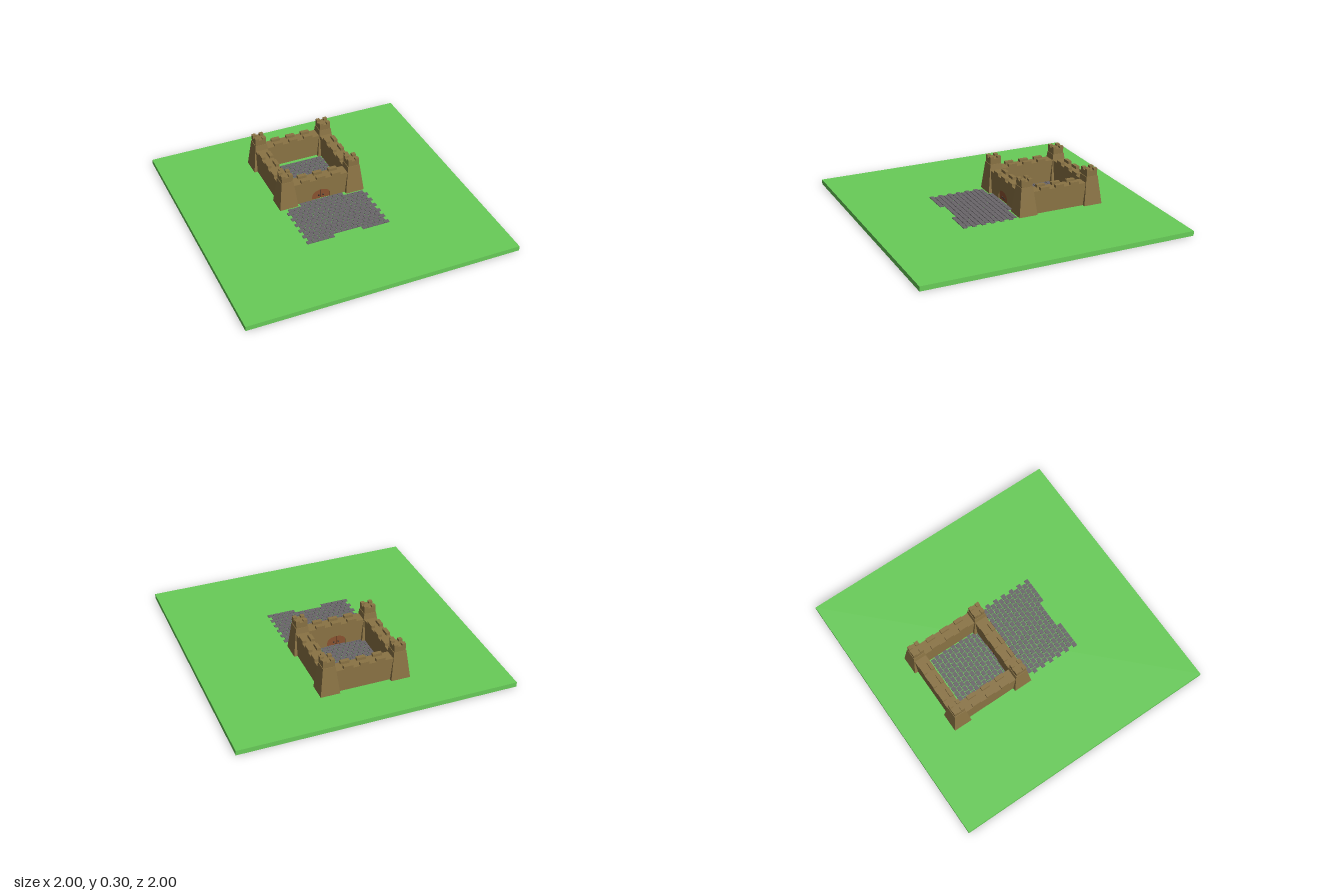
import * as THREE from 'three';
import { mergeGeometries } from 'three/addons/utils/BufferGeometryUtils.js';

const GROUND = 0.035;
const CX = -0.025, CZ = -0.351;      // centre of the castle
const HALF = 0.257;                  // centre to tower centre
const WALL_TOP = 0.203, WALL_T = 0.09;

const paint = (color) => new THREE.MeshStandardMaterial({ color, flatShading: true });
const box = (w, h, d, x, y, z) => new THREE.BoxGeometry(w, h, d).translate(x, y + h / 2, z);

function part(name, geometries, material) {
  const mesh = new THREE.Mesh(mergeGeometries(geometries), material);
  mesh.name = name;
  return mesh;
}

// Square block tapering from half-width a (bottom) to b (top)
function frustum(a, b, y0, y1) {
  return new THREE.CylinderGeometry(b * Math.SQRT2, a * Math.SQRT2, y1 - y0, 4)
    .rotateY(Math.PI / 4).translate(0, (y0 + y1) / 2, 0);
}

// Corner tower with four merlons around a cross-shaped notch
function tower(material) {
  const g = [frustum(0.07, 0.045, GROUND, 0.245), frustum(0.041, 0.042, 0.245, 0.286)];
  for (const sx of [-1, 1]) for (const sz of [-1, 1])
    g.push(box(0.028, 0.016, 0.028, sx * 0.028, 0.285, sz * 0.028));
  return part('tower', g, material);
}

// Two rows of merlons on a wall running along x
function battlements() {
  const g = [];
  for (let i = -1; i <= 1; i++) for (const side of [-1, 1])
    g.push(box(0.066, 0.02, 0.028, i * 0.118, WALL_TOP, side * (WALL_T / 2 - 0.014)));
  return g;
}

// Low arched outline used by the doorway and the door leaves
function archPoints(x0, x1, half, spring, rise) {
  const pts = [new THREE.Vector2(x0, GROUND)];
  for (let i = 0; i <= 12; i++) {
    const x = x0 + (x1 - x0) * (0.5 - 0.5 * Math.cos(Math.PI * i / 12));
    pts.push(new THREE.Vector2(x, spring + rise * Math.sqrt(Math.max(0, 1 - (x / half) ** 2))));
  }
  pts.push(new THREE.Vector2(x1, GROUND));
  return pts;
}

function extrude(shape, depth) {
  return new THREE.ExtrudeGeometry(shape, { depth, bevelEnabled: false }).translate(0, 0, -depth / 2);
}

export function createModel() {
  const model = new THREE.Group();
  const stone = paint(0x8a7344), wood = paint(0x8a5230);
  const iron = paint(0x2c2826), cobble = paint(0x6a666a), grass = paint(0x68cc58);

  model.add(part('ground', [box(2, GROUND, 2, 0, 0, 0)], grass));

  const castle = new THREE.Group();
  castle.name = 'castle';
  castle.position.set(CX, 0, CZ);
  model.add(castle);

  // Corner towers
  for (const sx of [-1, 1]) for (const sz of [-1, 1]) {
    const t = tower(stone);
    t.position.set(sx * HALF, 0, sz * HALF);
    castle.add(t);
  }

  // Plain walls: back and both sides
  const plain = [['backWall', 0, -1, 0], ['leftWall', 1, 0, 1], ['rightWall', -1, 0, 1]];
  for (const [name, x, z, turn] of plain) {
    const g = [box(2 * HALF, WALL_TOP - GROUND, WALL_T, 0, GROUND, 0), ...battlements()];
    const wall = part(name, g, stone);
    wall.position.set(x * HALF, 0, z * HALF);
    wall.rotation.y = turn * Math.PI / 2;
    castle.add(wall);
  }

  // Front wall with an arched doorway
  const gate = new THREE.Group();
  gate.name = 'gate';
  gate.position.z = HALF;
  castle.add(gate);
  const outline = new THREE.Shape([
    new THREE.Vector2(-HALF, GROUND), ...archPoints(-0.07, 0.07, 0.07, 0.068, 0.046),
    new THREE.Vector2(HALF, GROUND), new THREE.Vector2(HALF, WALL_TOP), new THREE.Vector2(-HALF, WALL_TOP)
  ]);
  const frontWall = part('frontWall', [extrude(outline, WALL_T)], stone);
  gate.add(frontWall, part('frontBattlements', battlements(), stone));

  // Double door with round handles on both faces
  for (const s of [-1, 1]) {
    const xs = s < 0 ? [-0.07, -0.002] : [0.002, 0.07];
    const leaf = new THREE.Shape(archPoints(...xs, 0.07, 0.068, 0.046));
    gate.add(part('doorLeaf', [extrude(leaf, WALL_T - 0.012)], wood));
    const knobs = [-1, 1].map((f) =>
      new THREE.SphereGeometry(0.006, 10, 8).translate(s * 0.017, 0.063, f * (WALL_T / 2 - 0.004)));
    gate.add(part('doorHandles', knobs, iron));
  }
  gate.add(part('doorSeam', [box(0.004, 0.078, WALL_T - 0.02, 0, GROUND, 0)], iron));

  // Staggered cobbles: forecourt, doorstep row and courtyard
  const forecourt = [], courtyard = [];
  const pitchX = 0.042, pitchZ = 0.0347;
  for (let row = 0; row < 27; row++) {
    if (row === 13 || row === 14) continue;
    const z = 0.386 - row * pitchZ;
    const odd = row % 2;
    for (let i = 0; i < 15 - odd; i++) {
      const x = -0.302 + (i + odd / 2) * pitchX;
      if (row === 0 && x > -0.11 && x < 0.1) continue;
      if (row === 12 && (x < -0.2 || x > 0.15)) continue;
      if (row > 14 && (x < -0.245 || x > 0.2)) continue;
      (row < 13 ? forecourt : courtyard).push(box(0.038, 0.008, 0.0305, x, GROUND - 0.003, z));
    }
  }
  model.add(part('forecourtCobbles', forecourt, cobble), part('courtyardCobbles', courtyard, cobble));
  return model;
}
